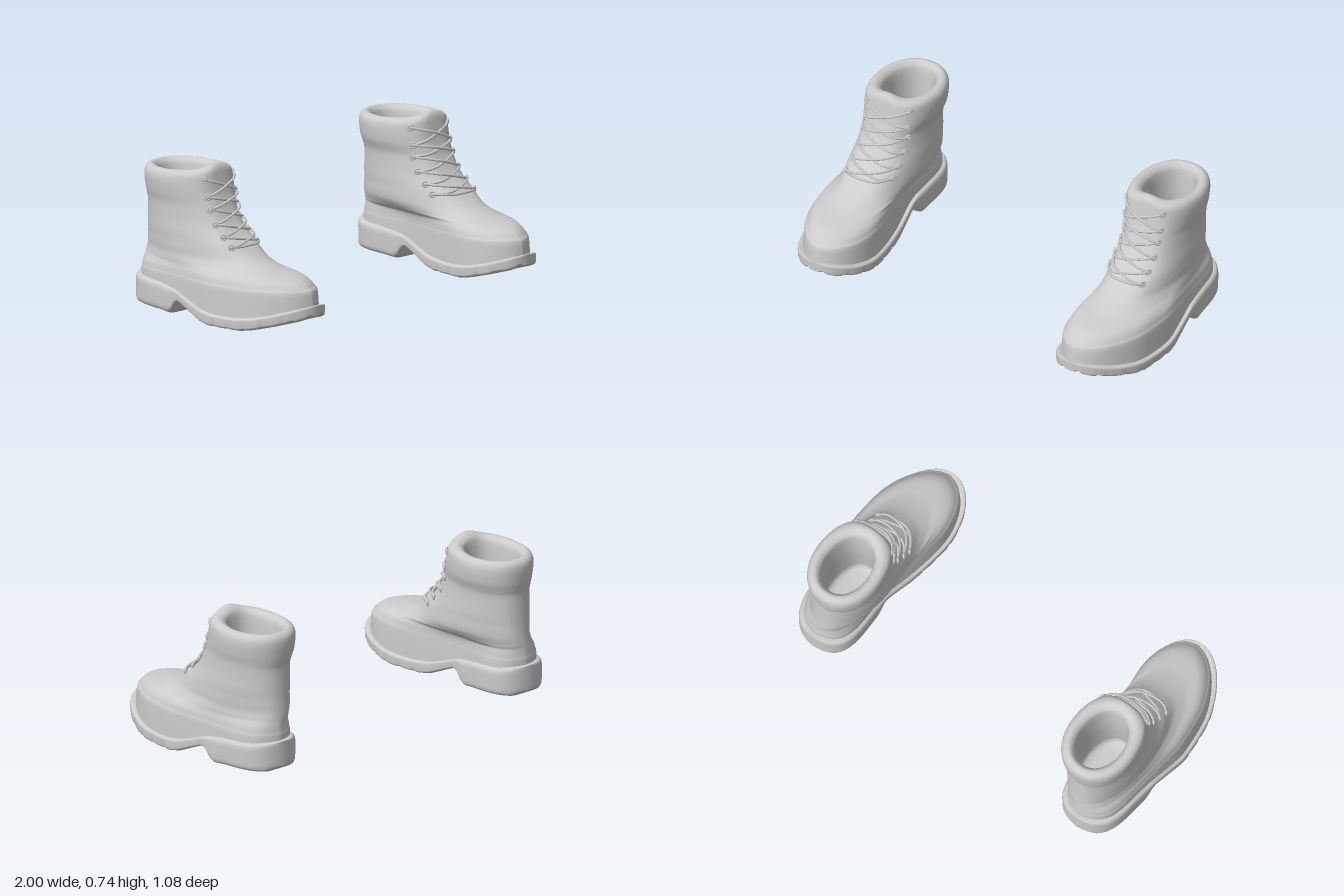
import * as THREE from 'three';

const material = new THREE.MeshStandardMaterial({ color: 0xcccccc, side: THREE.DoubleSide });
const { lerp, smoothstep, clamp } = THREE.MathUtils;
const HALF = 0.542; // half length of the sole

// Linear lookup in [key, value] pairs with rising keys
function lookup(pairs, t, col = 1) {
  for (let i = 1; i < pairs.length; i++) {
    if (t <= pairs[i][0]) {
      const a = pairs[i - 1], b = pairs[i];
      return lerp(a[col], b[col], clamp((t - a[0]) / (b[0] - a[0]), 0, 1));
    }
  }
  return pairs[pairs.length - 1][col];
}

// Smooth lookup that eases the corners of a lookup table
const soft = (pairs, t, col) =>
  (lookup(pairs, t - 0.025, col) + 2 * lookup(pairs, t, col) + lookup(pairs, t + 0.025, col)) / 4;

// Footprint by z: [z, centre, half width], x positive towards the other boot
const FOOTPRINT = [
  [-0.54, 0, 0.165], [-0.3, -0.01, 0.17], [-0.15, -0.02, 0.175], [0.05, -0.015, 0.205],
  [0.28, 0.012, 0.217], [0.42, 0.03, 0.208], [0.54, 0.042, 0.2],
];
const SOLE_TOP = [
  [-0.54, 0.175], [-0.3, 0.166], [-0.2, 0.152], [-0.1, 0.115], [0, 0.082], [0.1, 0.07],
  [0.2, 0.07], [0.3, 0.08], [0.4, 0.1], [0.54, 0.142],
];
const SOLE_BOTTOM = [
  [-0.54, 0.05], [-0.51, 0.026], [-0.3, 0.018], [-0.235, 0.012], [-0.21, 0.028], [-0.185, 0.07],
  [-0.16, 0.085], [-0.1, 0.06], [0, 0.015], [0.06, 0.003], [0.25, 0.003], [0.3, 0.012],
  [0.4, 0.038], [0.5, 0.068], [0.54, 0.09],
];

function footprint(u) {
  const z = u * HALF;
  const round = Math.sqrt(Math.max(0, 1 - Math.abs(u) ** (u > 0 ? 3.8 : 8)));
  return { c: soft(FOOTPRINT, z, 1), h: soft(FOOTPRINT, z, 2) * round };
}

// Upper, from sole to collar and down the lining:
// [y, front z, back z, centre x, half width, shaft blend, foot scale, levelness, front squareness]
const LEVELS = [
  [0, 0.525, -0.523, 0, 0.17, 0, 1, 0, 0.9],
  [0.18, 0.512, -0.522, 0, 0.17, 0, 0.98, 1, 0.9],
  [0.215, 0.49, -0.518, 0.01, 0.18, 0.05, 0.95, 1, 0.9],
  [0.24, 0.46, -0.515, 0.01, 0.18, 0.15, 0.92, 1, 0.9],
  [0.257, 0.42, -0.513, 0.01, 0.175, 0.35, 0.88, 1, 0.9],
  [0.268, 0.36, -0.512, 0.015, 0.175, 0.55, 0.86, 1, 0.9],
  [0.28, 0.29, -0.511, 0.015, 0.172, 0.75, 0.85, 1, 0.88],
  [0.31, 0.2, -0.508, 0.02, 0.17, 0.95, 0.85, 1, 0.8],
  [0.345, 0.14, -0.505, 0.02, 0.17, 1, 0.85, 1, 0.7],
  [0.38, 0.095, -0.502, 0.02, 0.168, 1, 0.85, 1, 0.62],
  [0.42, 0.04, -0.5, 0.02, 0.167, 1, 0.85, 1, 0.6],
  [0.47, -0.003, -0.498, 0.02, 0.163, 1, 0.85, 1, 0.6],
  [0.53, -0.035, -0.497, 0.02, 0.162, 1, 0.85, 1, 0.6],
];
const COLLAR = [
  [0.56, -0.045, -0.503, 0.022, 0.166], [0.6, -0.06, -0.51, 0.025, 0.176],
  [0.66, -0.075, -0.515, 0.025, 0.18], [0.695, -0.085, -0.508, 0.025, 0.172],
  [0.71, -0.105, -0.485, 0.025, 0.15], [0.7, -0.135, -0.465, 0.025, 0.125],
  [0.66, -0.155, -0.45, 0.025, 0.11], [0.5, -0.15, -0.44, 0.025, 0.105],
  [0.3, -0.12, -0.44, 0.025, 0.11], [0.2, -0.12, -0.44, 0.025, 0.1],
  [0.19, -0.27, -0.29, 0.025, 0.005],
];
COLLAR.forEach((r, i) => LEVELS.push([...r, 1, 0.85, 1, i < 4 ? 0.62 : 0.8]));

// Catmull-Rom value of one column at a fractional row
function levelAt(t) {
  const i = Math.min(Math.floor(t), LEVELS.length - 2), f = t - i;
  const row = (k) => LEVELS[clamp(k, 0, LEVELS.length - 1)];
  const [a, b, c, d] = [row(i - 1), row(i), row(i + 1), row(i + 2)];
  return b.map((v, k) => v + 0.5 * f * (c[k] - a[k]
    + f * (2 * a[k] - 5 * v + 4 * c[k] - d[k] + f * (3 * (v - c[k]) + d[k] - a[k]))));
}

function upperPoint(t, angle) {
  const [y, zf, zb, cx, hw, blend, scale, level, square] = levelAt(t);
  const u = Math.cos(angle), s = Math.sin(angle);
  const z = lerp(zb, zf, (u + 1) / 2);
  const foot = footprint(u);
  const footX = foot.c + Math.sign(s) * Math.max(0, foot.h - 0.016) * scale;
  const shaftX = cx + Math.sign(s) * hw * Math.abs(s) ** (u > 0 ? square : 0.9);
  const x = lerp(footX, shaftX, clamp(blend, 0, 1));
  // tongue tip and slightly raised front of the collar
  const front = Math.max(0, u);
  const lift = smoothstep(y, 0.6, 0.71) * front * (0.012 + 0.024 * Math.exp(-(((x - cx) / 0.07) ** 2)));
  return [x, lerp(soft(SOLE_TOP, z) - 0.02, y, clamp(level, 0, 1)) + lift, z];
}

// Skin over closed rings; side -1 gives the mirrored part
function loft(rings, side) {
  const n = rings[0].length, pos = [], index = [];
  for (const ring of rings) for (const [x, y, z] of ring) pos.push(x * side, y, z);
  for (let r = 0; r < rings.length - 1; r++) {
    for (let i = 0; i < n; i++) {
      const a = r * n + i, b = r * n + (i + 1) % n, c = a + n, d = b + n;
      if (side > 0) index.push(a, b, c, b, d, c);
      else index.push(a, c, b, b, c, d);
    }
  }
  const g = new THREE.BufferGeometry();
  g.setAttribute('position', new THREE.Float32BufferAttribute(pos, 3));
  g.setIndex(index);
  g.computeVertexNormals();
  return g;
}

function upperGeometry(side) {
  const rings = [], sub = 4, n = 72;
  for (let r = 0; r <= (LEVELS.length - 1) * sub; r++) {
    rings.push(Array.from({ length: n }, (_, i) => upperPoint(r / sub, (i / n) * Math.PI * 2)));
  }
  return loft(rings, side);
}

// Sole: rounded box sections from heel to toe, with lugs along the lower edge
function soleGeometry(side) {
  const rings = [], K = 120, n = 40;
  for (let k = 0; k <= K; k++) {
    const u = -Math.cos((k / K) * Math.PI), z = u * HALF;
    const { c, h } = footprint(u);
    const top = soft(SOLE_TOP, z), bottom = lookup(SOLE_BOTTOM, z);
    const notch = smoothstep(Math.cos(z * 70), 0.5, 0.9) * smoothstep(z, 0, 0.1);
    rings.push(Array.from({ length: n }, (_, i) => {
      const a = ((i + 0.5) / n) * Math.PI * 2, ca = Math.cos(a), sa = Math.sin(a);
      const low = Math.max(0, -sa);
      const px = Math.sign(ca) * Math.abs(ca) ** 0.3, py = Math.sign(sa) * Math.abs(sa) ** 0.3;
      const x = c + h * px * (1 - (0.02 + 0.05 * notch) * Math.sqrt(low));
      const toeLug = 0.014 * smoothstep(z, 0.42, 0.5) * smoothstep(Math.cos(x * 75), 0.4, 0.9) * low;
      return [x, lerp(bottom, top, (py + 1) / 2) + toeLug, z];
    }));
  }
  return loft(rings, side);
}

// Point just off the front of the shaft at a given x and y
function onFront(x, y, off) {
  const rows = LEVELS.slice(0, 17);
  const [zf, zb, cx, hw, square] = [1, 2, 3, 4, 8].map((col) => lookup(rows, y, col));
  const s = Math.min(1, Math.abs((x - cx) / hw)) ** (1 / square);
  return [x, y + off * 0.5, lerp(zb, zf, (Math.sqrt(1 - s * s) + 1) / 2) + off];
}

const EYELET_Y = [0.37, 0.412, 0.467, 0.535, 0.592, 0.675];
const LACE_X = 0.04, LACE_HALF = 0.115;

function createBoot(side) {
  const boot = new THREE.Group();
  const add = (name, geometry) => {
    const mesh = new THREE.Mesh(geometry, material);
    mesh.name = name;
    boot.add(mesh);
    return mesh;
  };
  add('upper', upperGeometry(side));
  add('sole', soleGeometry(side));

  const eyeletX = (s) => LACE_X + s * LACE_HALF;
  const lace = (y0, y1, s, off) => {
    const pts = [];
    for (let i = 0; i <= 8; i++) {
      const f = i / 8;
      const [x, y, z] = onFront(lerp(eyeletX(-s), eyeletX(s), f), lerp(y0, y1, f),
        0.01 + off * Math.sin(f * Math.PI));
      pts.push(new THREE.Vector3(x * side, y, z));
    }
    add('lace', new THREE.TubeGeometry(new THREE.CatmullRomCurve3(pts), 24, 0.0065, 6));
  };
  lace(EYELET_Y[0], EYELET_Y[0], 1, 0.003);
  EYELET_Y.forEach((y, i) => {
    for (const s of [-1, 1]) {
      // lace hook with its stud
      const [ex, ey, ez] = onFront(eyeletX(s), y, 0.008);
      const eyelet = add('eyelet', new THREE.TorusGeometry(0.013, 0.005, 8, 16));
      eyelet.position.set(ex * side, ey, ez);
      eyelet.rotation.y = s * side * 0.9;
      const stud = add('eyeletStud', new THREE.SphereGeometry(0.009, 10, 8));
      stud.position.copy(eyelet.position);
      // crossing laces, one lying over the other
      if (i < EYELET_Y.length - 1) lace(y, EYELET_Y[i + 1], s, s > 0 ? 0.014 : 0.003);
    }
  });
  boot.position.x = -0.78 * side;
  return boot;
}

export function createModel() {
  const model = new THREE.Group();
  model.name = 'bootPair';
  const right = createBoot(1);
  right.name = 'rightBoot';
  const left = createBoot(-1);
  left.name = 'leftBoot';
  model.add(right, left);
  return model;
}
